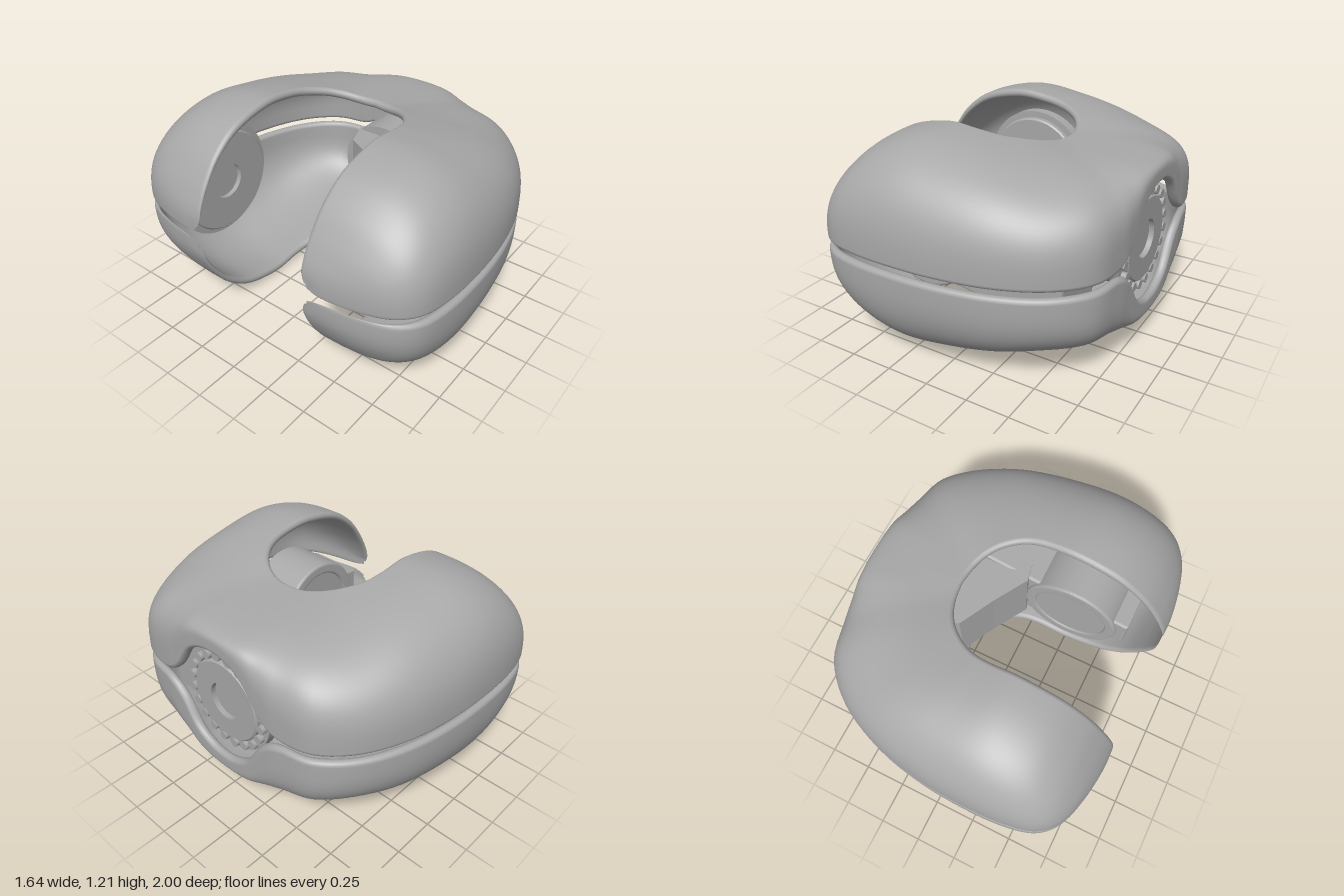
import * as THREE from 'three';

const MID = 0.607; // height of the split between the two shells

// Half of the U-shaped shell, from arm tip to centre, heights above the split:
// inner x, inner z, outer x, outer z, inner height, outer height, base, squareness
const STATIONS = [
  [-0.822, 0.375, -0.822, 0.40, 0.075, 0.075, 0.04, 2.4],
  [-0.815, 0.357, -0.822, 0.50, 0.14, 0.13, 0.02, 2.5],
  [-0.795, 0.355, -0.795, 0.68, 0.205, 0.205, 0.018, 2.6],
  [-0.74, 0.355, -0.74, 0.84, 0.31, 0.31, 0.018, 2.6],
  [-0.64, 0.355, -0.64, 0.94, 0.44, 0.44, 0.018, 2.6],
  [-0.48, 0.355, -0.48, 0.985, 0.55, 0.55, 0.018, 2.6],
  [-0.25, 0.355, -0.25, 1.0, 0.603, 0.603, 0.018, 2.6],
  [-0.06, 0.355, 0.05, 0.985, 0.59, 0.565, 0.018, 2.6],
  [0.06, 0.33, 0.35, 0.925, 0.57, 0.51, 0.018, 2.8],
  [0.16, 0.265, 0.60, 0.81, 0.55, 0.465, 0.018, 3],
  [0.22, 0.19, 0.765, 0.64, 0.53, 0.455, 0.018, 3.5],
  [0.25, 0.12, 0.81, 0.44, 0.515, 0.455, 0.025, 4.2],
  [0.26, 0.08, 0.817, 0.32, 0.51, 0.46, 0.10, 5],
  [0.265, 0.05, 0.82, 0.21, 0.508, 0.465, 0.255, 5.5],
  [0.268, 0.025, 0.82, 0.10, 0.508, 0.465, 0.32, 6],
  [0.27, 0, 0.82, 0, 0.508, 0.465, 0.335, 6],
];

// Hollow, round-edged shell lofted along the U
function shellGeometry() {
  const mirror = STATIONS.slice(0, -1).reverse()
    .map(([ix, iz, ox, oz, ...rest]) => [ix, -iz, ox, -oz, ...rest]);
  const all = [...STATIONS, ...mirror];
  const curve = (f) => new THREE.CatmullRomCurve3(
    all.map((s) => new THREE.Vector3(...f(s))), false, 'catmullrom', 0.5);
  const inner = curve((s) => [s[0], s[4], s[1]]);
  const outer = curve((s) => [s[2], s[5], s[3]]);
  const extra = curve((s) => [s[6], s[7], 0]);
  const N = 150, S = 22, R = 8, pos = [], idx = [];
  let M = 0;
  for (let i = 0; i <= N; i++) {
    const a = inner.getPoint(i / N), b = outer.getPoint(i / N), e = extra.getPoint(i / N);
    const L = Math.hypot(b.x - a.x, b.z - a.z), base = e.x;
    const H = Math.min(a.y, b.y) - base;
    const r = Math.min(0.027, 0.2 * L, 0.2 * H);
    const loop = []; // distance outwards, lift, drop from the top, height factor
    const arc = (k, w, drop) => {
      const q = (k / S) * Math.PI / 2;
      loop.push([r + w * Math.sin(q) ** (2 / e.y), r, drop, Math.cos(q) ** (2 / e.y)]);
    };
    // outside skin, base lip, inside skin, inner lip
    for (let k = 0; k <= S; k++) arc(k, L - r, 0);
    for (let k = 1; k < R; k++) {
      const q = (k / R) * Math.PI;
      loop.push([L - r + r * Math.cos(q), r - r * Math.sin(q), 0, 0]);
    }
    for (let k = S; k >= 0; k--) arc(k, L - 3 * r, 2 * r);
    for (let k = R - 1; k > 0; k--) {
      const q = (k / R) * Math.PI;
      loop.push([r - r * Math.sin(q), r, r - r * Math.cos(q), 1]);
    }
    M = loop.length;
    for (const [w, low, drop, v] of loop) {
      const f = w / L;
      const top = THREE.MathUtils.lerp(a.y, b.y, f) - base - r - drop;
      pos.push(a.x + (b.x - a.x) * f, base + low + top * v, a.z + (b.z - a.z) * f);
    }
  }
  for (let i = 0; i < N; i++) for (let j = 0; j < M; j++) {
    const k = (j + 1) % M, p = i * M + j, q = i * M + k;
    idx.push(p, q, p + M, q, q + M, p + M);
  }
  const g = new THREE.BufferGeometry();
  g.setAttribute('position', new THREE.Float32BufferAttribute(pos, 3));
  g.setIndex(idx);
  g.computeVertexNormals();
  return g;
}

export function createModel() {
  const model = new THREE.Group();
  model.name = 'jointHousing';
  const grey = new THREE.MeshStandardMaterial({ color: 0xa8a8a8, side: THREE.DoubleSide });
  grey.name = 'grey';
  const core = new THREE.Group();
  core.name = 'core';
  core.position.y = MID;
  model.add(core);
  const add = (parent, geometry, name, x = 0, y = 0, z = 0) => {
    const m = new THREE.Mesh(geometry, grey);
    m.name = name;
    m.position.set(x, y, z);
    parent.add(m);
    return m;
  };

  // Two identical shells, the lower one turned over
  const shell = shellGeometry();
  add(core, shell, 'upperShell');
  add(core, shell, 'lowerShell').rotation.x = Math.PI;

  // Disc with a recessed hub, turned about its axis; the face points along +y
  const flange = (r, depth) => new THREE.LatheGeometry([
    [0, -depth], [r, -depth], [r, -depth], [r, -0.01], [r, -0.01], [r - 0.01, 0], [r - 0.01, 0],
    [0.11, 0], [0.11, 0], [0.11, -0.03], [0.11, -0.03], [0, -0.03],
  ].map(([x, y]) => new THREE.Vector2(x, y)), 56);

  // Main drive at the +x end with its ring of bolts
  const drive = new THREE.Group();
  drive.name = 'mainDrive';
  drive.rotation.z = -Math.PI / 2;
  core.add(drive);
  add(drive, flange(0.245, 0.06), 'driveFace', 0, 0.765);
  add(drive, new THREE.CylinderGeometry(0.31, 0.31, 0.06, 56), 'driveFlange', 0, 0.705);
  add(drive, new THREE.CylinderGeometry(0.28, 0.28, 0.3, 48), 'driveBody', 0, 0.53);
  const bolt = new THREE.CylinderGeometry(0.026, 0.026, 0.04, 14);
  for (let i = 0; i < 20; i++) {
    const a = (i + 0.5) / 20 * Math.PI * 2;
    add(drive, bolt, 'bolt', Math.cos(a) * 0.272, 0.745, Math.sin(a) * 0.272);
  }

  // Output disc inside the rear arm, facing the yoke
  const rear = new THREE.Group();
  rear.name = 'rearArmDrive';
  rear.rotation.x = Math.PI / 2;
  rear.position.set(-0.32, 0, -0.66);
  core.add(rear);
  add(rear, flange(0.32, 0.06), 'rearDisc');
  add(rear, new THREE.CylinderGeometry(0.36, 0.36, 0.07, 56), 'rearFlange', 0, -0.075);

  // Yoke in the front arm: a tapering block with a round clamp
  const bevel = { bevelEnabled: true, bevelSize: 0.015, bevelThickness: 0.015, bevelSegments: 3 };
  const taper = new THREE.Shape([[-0.605, -0.1], [0.585, -0.28], [0.585, 0.28], [-0.605, 0.1]]
    .map(([x, y]) => new THREE.Vector2(x, y)));
  add(core, new THREE.ExtrudeGeometry(taper, { depth: 0.33, ...bevel }), 'yokeBlock', 0, 0, 0.315);
  const ring = new THREE.Shape();
  ring.absarc(0, 0, 0.275, 0, Math.PI * 2, false);
  const hole = new THREE.Path();
  hole.absarc(0, 0, 0.235, 0, Math.PI * 2, true);
  ring.holes.push(hole);
  add(core, new THREE.ExtrudeGeometry(ring, { depth: 0.3, curveSegments: 40, ...bevel }),
    'clampRing', -0.27, 0, 0.295);
  add(core, new THREE.CylinderGeometry(0.23, 0.23, 0.3, 48), 'clampDisc', -0.27, 0, 0.44)
    .rotation.x = Math.PI / 2;

  // Angled bracket joining the yoke to the main drive
  const plan = new THREE.Shape([[0.01, -0.28], [0.13, -0.08], [0.24, 0.13], [0.42, 0.2],
    [0.5, -0.2], [0.3, -0.385], [0.03, -0.385]].map(([x, y]) => new THREE.Vector2(x, y)).reverse());
  add(core, new THREE.ExtrudeGeometry(plan, { depth: 0.44, bevelEnabled: false }),
    'bracket', 0, -0.22, 0).rotation.x = -Math.PI / 2;
  return model;
}
